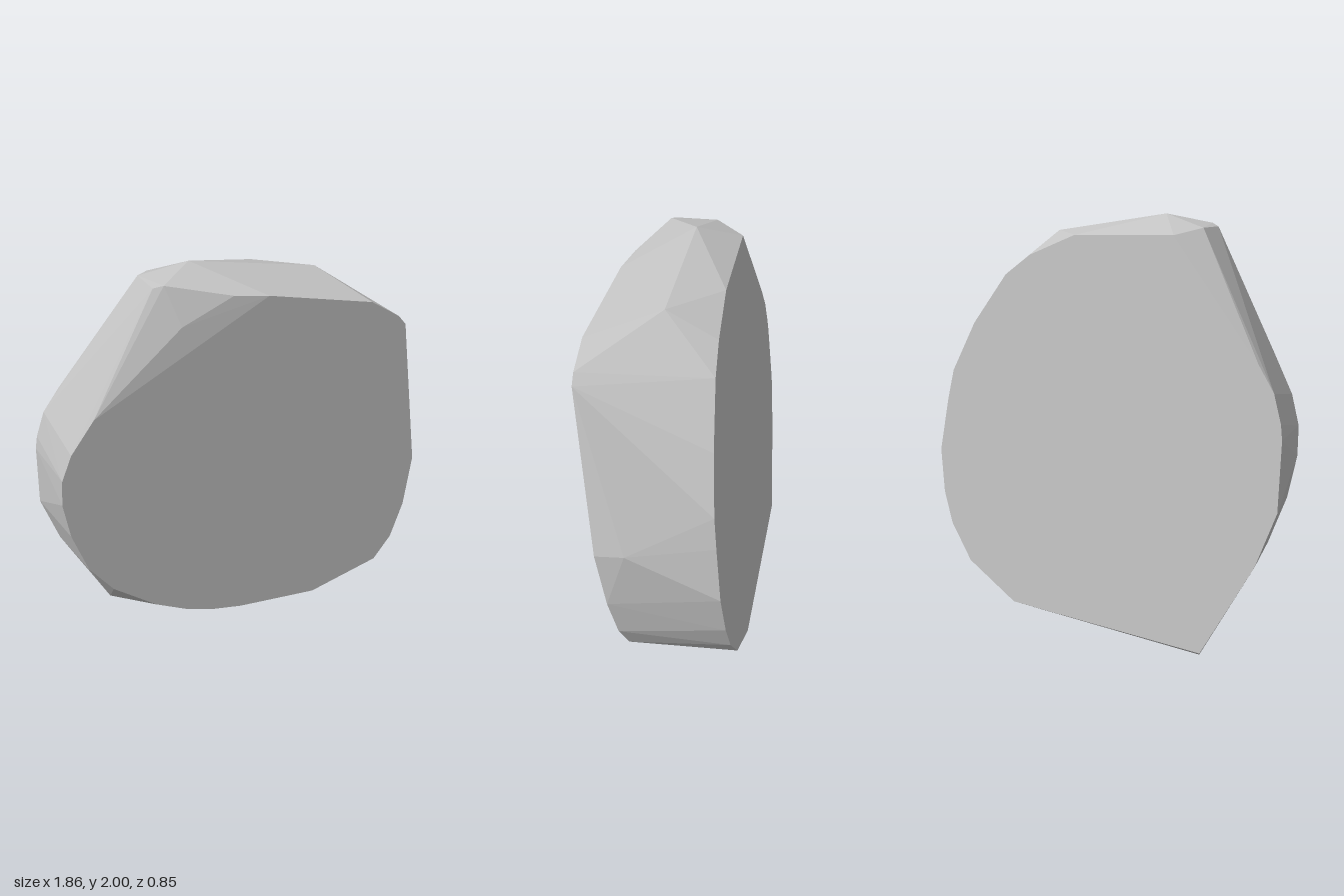
import * as THREE from 'three';
import { ConvexGeometry } from 'three/addons/geometries/ConvexGeometry.js';

// Outline of the sloping front face (x, y)
const frontOutline = [
  [0, 1.9], [0.48, 1.82], [0.62, 1.735], [0.66, 1.69], [0.835, 0.9], [0.835, 0.6],
  [0.8, 0.38], [0.73, 0.23], [0.4, 0.06], [0, 0.035], [-0.15, 0.045], [-0.3, 0.08],
  [-0.46, 0.15], [-0.68, 0.31], [-0.8, 0.47], [-0.88, 0.7], [-0.915, 0.9],
  [-0.91, 1.04], [-0.865, 1.18], [-0.76, 1.36],
];

// Outline of the sloping back face (x, y)
const backOutline = [
  [0.16, 1.9], [0.41, 1.8], [0.55, 1.7], [0.735, 1.45], [0.86, 1.2], [0.89, 1.05],
  [0.93, 0.78], [0.9, 0.56], [0.845, 0.4], [0.72, 0.22], [0.44, 0.055], [-0.6, 0.02],
  [-0.84, 0.47], [-0.93, 0.73], [-0.93, 1.05], [-0.92, 1.12], [-0.88, 1.25],
  [-0.8, 1.37], [-0.36, 1.91],
];

// Chipped corners along the rim (x, y, z)
const rimCorners = [
  [-0.24, 2, 0], [0.37, 1.91, 0.07], [-0.46, 1.94, 0.11], [-0.42, 1.955, 0.14],
  [-0.455, 1.94, -0.08], [-0.15, 1.91, 0.275], [-0.37, 1.78, 0.21],
  [0.66, 0.15, 0.07], [0.83, 0.41, -0.1], [0.88, 0.95, 0.2], [-0.59, 0, -0.4],
];

// Each face lies in its own tilted plane
const frontZ = (x, y) => 0.044 + 0.203 * x + 0.1445 * y;
const backZ = (x, y) => -0.384 + 0.075 * x + 0.106 * y;

export function createModel() {
  const points = [
    ...frontOutline.map(([x, y]) => new THREE.Vector3(x, y, frontZ(x, y))),
    ...backOutline.map(([x, y]) => new THREE.Vector3(x, y, backZ(x, y))),
    ...rimCorners.map((p) => new THREE.Vector3(...p)),
  ];

  const stone = new THREE.MeshStandardMaterial({ color: 0xc3c3c3 });
  stone.name = 'stone grey';

  // One faceted slab of rock
  const slab = new THREE.Mesh(new ConvexGeometry(points), stone);
  slab.name = 'stoneSlab';

  const group = new THREE.Group();
  group.name = 'rock';
  group.add(slab);
  return group;
}
